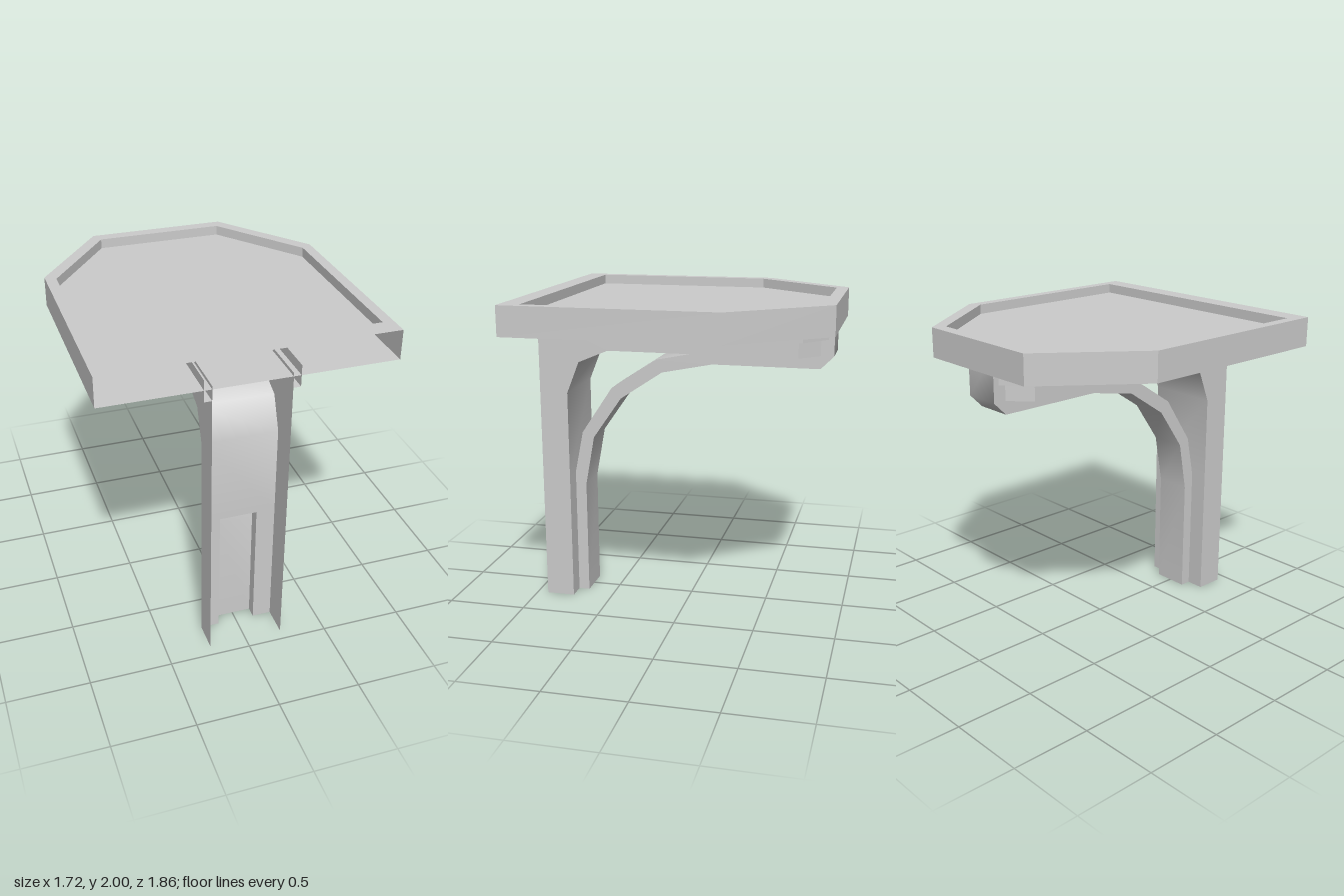
import * as THREE from 'three';
import { toCreasedNormals } from 'three/addons/utils/BufferGeometryUtils.js';

const material = new THREE.MeshStandardMaterial({ color: 0xcccccc, side: THREE.DoubleSide });

function addMesh(parent, name, geometry) {
  const mesh = new THREE.Mesh(geometry, material);
  mesh.name = name;
  parent.add(mesh);
}

// Sheet stretched between two matching lines of [x, y, z] points
function ribbon(a, b, crease = 0.1) {
  const pos = [], index = [];
  a.forEach((p, i) => {
    pos.push(...p, ...b[i]);
    if (i > 0) {
      const k = 2 * i;
      index.push(k - 2, k - 1, k, k - 1, k + 1, k);
    }
  });
  const g = new THREE.BufferGeometry();
  g.setAttribute('position', new THREE.Float32BufferAttribute(pos, 3));
  g.setIndex(index);
  return toCreasedNormals(g, crease);
}

// Upright wall above a plan line of [x, z] points
const wall = (plan, y0, y1) =>
  ribbon(plan.map(([x, z]) => [x, y1, z]), plan.map(([x, z]) => [x, y0, z]));

// Band following a side profile of [z, y] points
const band = (profile, x0, x1) =>
  ribbon(profile.map(([z, y]) => [x0, y, z]), profile.map(([z, y]) => [x1, y, z]), 0.9);

function plate(points, hole) {
  const shape = new THREE.Shape(points.map(p => new THREE.Vector2(...p)));
  if (hole) shape.holes.push(new THREE.Path(hole.map(p => new THREE.Vector2(...p))));
  return new THREE.ShapeGeometry(shape);
}
const level = (points, y, hole) => plate(points, hole).rotateX(Math.PI / 2).translate(0, y, 0);
const upright = (points, x) => plate(points).rotateY(-Math.PI / 2).translate(x, 0, 0);

// Half plan mirrored into a full line running from +x to -x
const mirrored = half => [...half, ...half.map(([x, z]) => [-x, z]).reverse()];

export function createModel() {
  const model = new THREE.Group();
  model.name = 'platformOnBracket';

  // Tray: open at the front end, with a shallow recess on top
  const tray = new THREE.Group();
  tray.name = 'tray';
  model.add(tray);
  const outer = mirrored([[0.86, 0.93], [0.86, -0.36], [0.43, -0.93]]);
  const inner = mirrored([[0.795, 0.81], [0.795, -0.32], [0.395, -0.855]]);
  addMesh(tray, 'trayWall', wall(outer, 1.82, 2));
  addMesh(tray, 'trayUnderside', level(outer, 1.82));
  addMesh(tray, 'trayRim', level(outer, 2, inner));
  addMesh(tray, 'recessWall', wall([...inner, inner[0]], 1.94, 2));
  addMesh(tray, 'recessFloor', level(inner, 1.94));

  // Profiles of the column and of the curved brace, as [z, y]
  const columnCurve = [[0.75, 0.82], [0.75, 1.37], [0.67, 1.57], [0.48, 1.65], [-0.12, 1.65]];
  const columnSide = [[0.93, 0], [0.93, 1.84], [-0.7, 1.84], [-0.7, 1.65],
    [0.48, 1.65], [0.67, 1.57], [0.75, 1.37], [0.75, 0]];
  const braceOuter = [[0.68, 0], [0.68, 0.74], [0.62, 1.06], [0.435, 1.325], [0.165, 1.505],
    [-0.155, 1.57], [-0.82, 1.57], [-0.9, 1.65], [-0.9, 1.93]];
  const braceInner = [[0.75, 0.82], [0.695, 1.09], [0.495, 1.39], [0.2, 1.585], [-0.12, 1.65]];
  const braceSide = [...braceOuter, [-0.82, 1.93], [-0.82, 1.65],
    ...[...braceInner].reverse(), [0.75, 0]];

  const column = new THREE.Group();
  column.name = 'column';
  const rail = new THREE.Group();
  rail.name = 'rail';
  const brace = new THREE.Group();
  brace.name = 'brace';
  model.add(column, rail, brace);

  // Webs spanning the full width
  addMesh(column, 'columnWeb', band(columnCurve, -0.23, 0.23));
  addMesh(brace, 'braceBack', band(braceOuter, -0.115, 0.115));
  addMesh(brace, 'braceFront', band(braceInner, -0.115, 0.115));

  // Mirrored side parts
  for (const [side, s] of [['left', 1], ['right', -1]]) {
    const flip = pts => pts.map(([x, z]) => [s * x, z]);

    addMesh(column, side + 'ColumnSide', upright(columnSide, s * 0.23));
    addMesh(column, side + 'ColumnBackStrip', band([[0.75, 0], [0.75, 0.82]], s * 0.115, s * 0.23));
    addMesh(column, side + 'ArmUnderside',
      level(flip([[0.115, -0.12], [0.23, -0.12], [0.23, -0.7], [0.115, -0.82]]), 1.65));
    addMesh(column, side + 'ArmEnd', wall(flip([[0.23, -0.7], [0.115, -0.82]]), 1.65, 1.84));

    // Rail wraps the top of the arm
    const railLine = [[0.275, 0.93], [0.275, -0.73], [0.11, -0.87]];
    const armLine = [[0.11, -0.82], [0.23, -0.7], [0.23, 0.93]];
    addMesh(rail, side + 'RailWall', wall(flip(railLine), 1.75, 1.88));
    addMesh(rail, side + 'RailFlange', level(flip([...railLine, ...armLine]), 1.75));

    addMesh(brace, side + 'BraceSide', upright(braceSide, s * 0.115));
  }
  return model;
}
